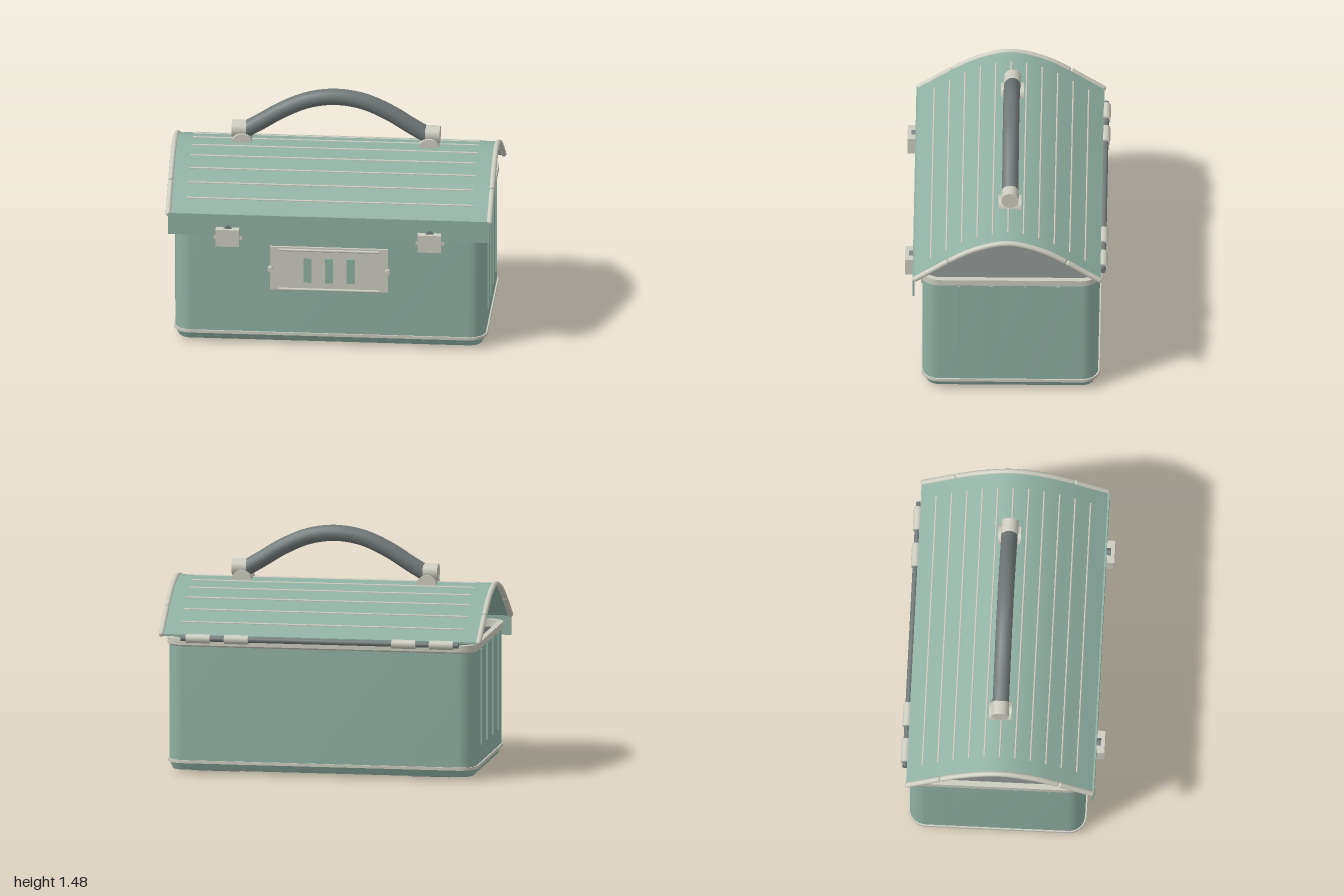
import * as THREE from 'three';
import { toCreasedNormals } from 'three/addons/utils/BufferGeometryUtils.js';

const mat = (name, color, side = THREE.FrontSide) => {
  const m = new THREE.MeshStandardMaterial({ color, side });
  m.name = name;
  return m;
};

export function createModel() {
  const root = new THREE.Group();
  root.name = 'lunchBox';
  const green = mat('paintedGreen', 0x8fb0a3);
  const cream = mat('paleMetal', 0xcccbc0);
  const grip = mat('darkGrip', 0x707877);
  const lining = mat('greyLining', 0x747876);
  const rubber = mat('footRubber', 0x666c6c);

  const add = (name, geo, m, x = 0, y = 0, z = 0) => {
    const mesh = new THREE.Mesh(geo, m);
    mesh.name = name;
    mesh.position.set(x, y, z);
    root.add(mesh);
    return mesh;
  };
  // box from its minimum and maximum corners
  const box = (name, m, x0, x1, y0, y1, z0, z1) =>
    add(name, new THREE.BoxGeometry(x1 - x0, y1 - y0, z1 - z0), m, (x0 + x1) / 2, (y0 + y1) / 2, (z0 + z1) / 2);
  const rod = (name, m, r, len, x, y, z, axis = 'x', sides = 20) => {
    const geo = new THREE.CylinderGeometry(r, r, len, sides);
    if (axis === 'x') geo.rotateZ(Math.PI / 2);
    else geo.rotateX(Math.PI / 2);
    return add(name, geo, m, x, y, z);
  };

  // Stack of rounded rectangles, each level given as [height, inset from the wall]
  const W = 0.95, D = 0.535, R = 0.1, STEPS = 8;
  const loft = (levels) => {
    const pos = [], idx = [], n = 4 * (STEPS + 1);
    for (const [y, inset] of levels) {
      const r = Math.max(R - inset, 0);
      for (let c = 0; c < 4; c++) {
        const sx = c === 0 || c === 3 ? 1 : -1, sz = c < 2 ? 1 : -1;
        for (let k = 0; k <= STEPS; k++) {
          const t = (c + k / STEPS) * Math.PI / 2;
          pos.push(sx * (W - inset - r) + r * Math.cos(t), y, sz * (D - inset - r) + r * Math.sin(t));
        }
      }
    }
    for (let i = 0; i < levels.length - 1; i++) {
      for (let j = 0; j < n; j++) {
        const a = i * n + j, b = i * n + (j + 1) % n;
        idx.push(a, a + n, b, b, a + n, b + n);
      }
    }
    const geo = new THREE.BufferGeometry();
    geo.setAttribute('position', new THREE.Float32BufferAttribute(pos, 3));
    geo.setIndex(idx);
    return toCreasedNormals(geo, 0.4);
  };

  // Body, lining and the two metal bands
  const BZ = -0.025;
  add('body', loft([[0.02, D], [0.02, 0.022], [0.065, 0], [0.8, 0]]), green, 0, 0, BZ);
  add('lining', loft([[0.8, 0.01], [0.04, 0.01], [0.04, D]]), lining, 0, 0, BZ);
  add('baseBand', loft([[0.064, 0], [0.064, -0.009], [0.082, -0.009], [0.082, 0]]), cream, 0, 0, BZ);
  add('rim', loft([[0.785, 0], [0.795, -0.012], [0.835, -0.012], [0.835, 0.022], [0.79, 0.022], [0.785, 0.01]]), cream, 0, 0, BZ);

  // Feet and side ribs
  for (const s of [1, -1]) {
    for (const z of [0.312, -0.367]) box('foot', rubber, s * 0.65 - 0.125, s * 0.65 + 0.125, 0, 0.021, z - 0.063, z + 0.063);
    for (const z of [0.29, 0.09, -0.115, -0.318]) box('sideRib', green, s * 0.953 - 0.008, s * 0.953 + 0.008, 0.19, 0.785, z - 0.01, z + 0.01);
  }

  // Domed lid: a curved sheet swept along x
  const LZ = -0.008;
  const arc = new THREE.CatmullRomCurve3(
    [[0.57, 0.855], [0.46, 0.928], [0.36, 0.995], [0.2, 1.083], [0, 1.132],
      [-0.2, 1.083], [-0.36, 0.995], [-0.46, 0.928], [-0.57, 0.855]]
      .map(([z, y]) => new THREE.Vector3(0, y, z + LZ)));
  const pts = arc.getSpacedPoints(40);
  const profile = new THREE.Shape([
    ...pts.map((p) => new THREE.Vector2(-p.z, p.y + 0.006)),
    ...pts.slice().reverse().map((p) => new THREE.Vector2(-p.z, p.y - 0.006))]);
  const sheet = new THREE.ExtrudeGeometry(profile, { depth: 1.95, bevelEnabled: false });
  sheet.translate(0, 0, -0.975).rotateY(Math.PI / 2);
  add('lidSheet', toCreasedNormals(sheet, 0.5), green);
  box('lidFrontFlap', green, -0.985, 0.985, 0.73, 0.867, 0.56, 0.571);

  // Raised lines running along the lid
  for (let i = 0; i < 11; i++) {
    const z = -0.482 + i * 0.0942;
    const k = pts.findIndex((p) => p.z <= z);
    const a = pts[k - 1], b = pts[k];
    const y = a.y + (b.y - a.y) * (z - a.z) / (b.z - a.z);
    rod('lidLine', cream, 0.006, 1.75, 0, y + 0.005, z, 'x', 8);
  }

  // Rolled trim on both lid ends, in three lengths with rounded tips
  for (const s of [1, -1]) {
    for (const [z0, z1] of [[0.555, 0.365], [0.34, -0.355], [-0.38, -0.57]]) {
      const part = pts.filter((p) => p.z < z0 - 0.01 && p.z > z1 + 0.01);
      const at = (z) => {
        const k = Math.max(1, pts.findIndex((p) => p.z <= z));
        const a = pts[k - 1], b = pts[k];
        return new THREE.Vector3(0, a.y + (b.y - a.y) * (z - a.z) / (b.z - a.z), z);
      };
      const ends = [at(z0), at(z1)];
      const path = new THREE.CatmullRomCurve3([ends[0], ...part, ends[1]]);
      add('lidEndTrim', new THREE.TubeGeometry(path, 30, 0.017, 12), cream, s * 0.983);
      for (const e of ends) add('lidTrimTip', new THREE.SphereGeometry(0.017, 12, 8), cream, s * 0.983, e.y, e.z);
    }
  }

  // Hinge rod and knuckles
  rod('hingeRod', grip, 0.017, 1.72, 0, 0.84, -0.59);
  for (const x of [-0.755, -0.522, 0.515, 0.752]) rod('hingeKnuckle', cream, 0.028, 0.148, x, 0.84, -0.59);

  // Handle with end caps and half-round mounts
  const HZ = -0.02;
  const half = [[0.57, 1.185], [0.46, 1.25], [0.33, 1.33], [0.17, 1.4]];
  const handlePath = new THREE.CatmullRomCurve3([
    ...half.map(([x, y]) => new THREE.Vector3(-x, y, HZ)),
    new THREE.Vector3(0, 1.425, HZ),
    ...half.slice().reverse().map(([x, y]) => new THREE.Vector3(x, y, HZ))]);
  add('handle', new THREE.TubeGeometry(handlePath, 48, 0.05, 16), grip);
  const dome = new THREE.Shape();
  dome.absarc(0, 0, 0.062, 0, Math.PI, false);
  for (const s of [1, -1]) {
    rod('handleCap', cream, 0.053, 0.09, s * 0.592, 1.2, HZ);
    const mount = new THREE.ExtrudeGeometry(dome, { depth: 0.14, bevelEnabled: false, curveSegments: 16 });
    add('handleMount', toCreasedNormals(mount, 0.5), cream, s * 0.573, 1.125, HZ - 0.07);
    box('handleMountPlate', cream, s * 0.573 - 0.06, s * 0.573 + 0.06, 1.1, 1.135, HZ - 0.07, HZ + 0.07);
  }

  // Latches: catch behind the flap, block and small peak in front
  const peak = new THREE.Shape([new THREE.Vector2(-0.025, 0), new THREE.Vector2(0.025, 0), new THREE.Vector2(0, 0.018)]);
  for (const s of [1, -1]) {
    const x = s * 0.618;
    box('latchCatch', cream, x - 0.088, x + 0.088, 0.7, 0.83, 0.535, 0.56);
    box('latchBlock', cream, x - 0.072, x + 0.072, 0.675, 0.785, 0.571, 0.62);
    add('latchPeak', new THREE.ExtrudeGeometry(peak, { depth: 0.026, bevelEnabled: false }), grip, x, 0.784, 0.571);
  }

  // Front plate with rails, bolts and three upright bars
  box('frontPlate', cream, -0.363, 0.36, 0.367, 0.647, 0.508, 0.526);
  for (const y of [0.375, 0.632]) rod('plateRail', cream, 0.008, 0.62, 0, y, 0.534, 'x', 10);
  for (const x of [-0.36, 0.357]) rod('plateBolt', cream, 0.016, 0.04, x, 0.505, 0.535, 'z', 14);
  for (const x of [-0.132, 0, 0.13]) box('plateBar', green, x - 0.024, x + 0.024, 0.422, 0.58, 0.52, 0.539);

  return root;
}
